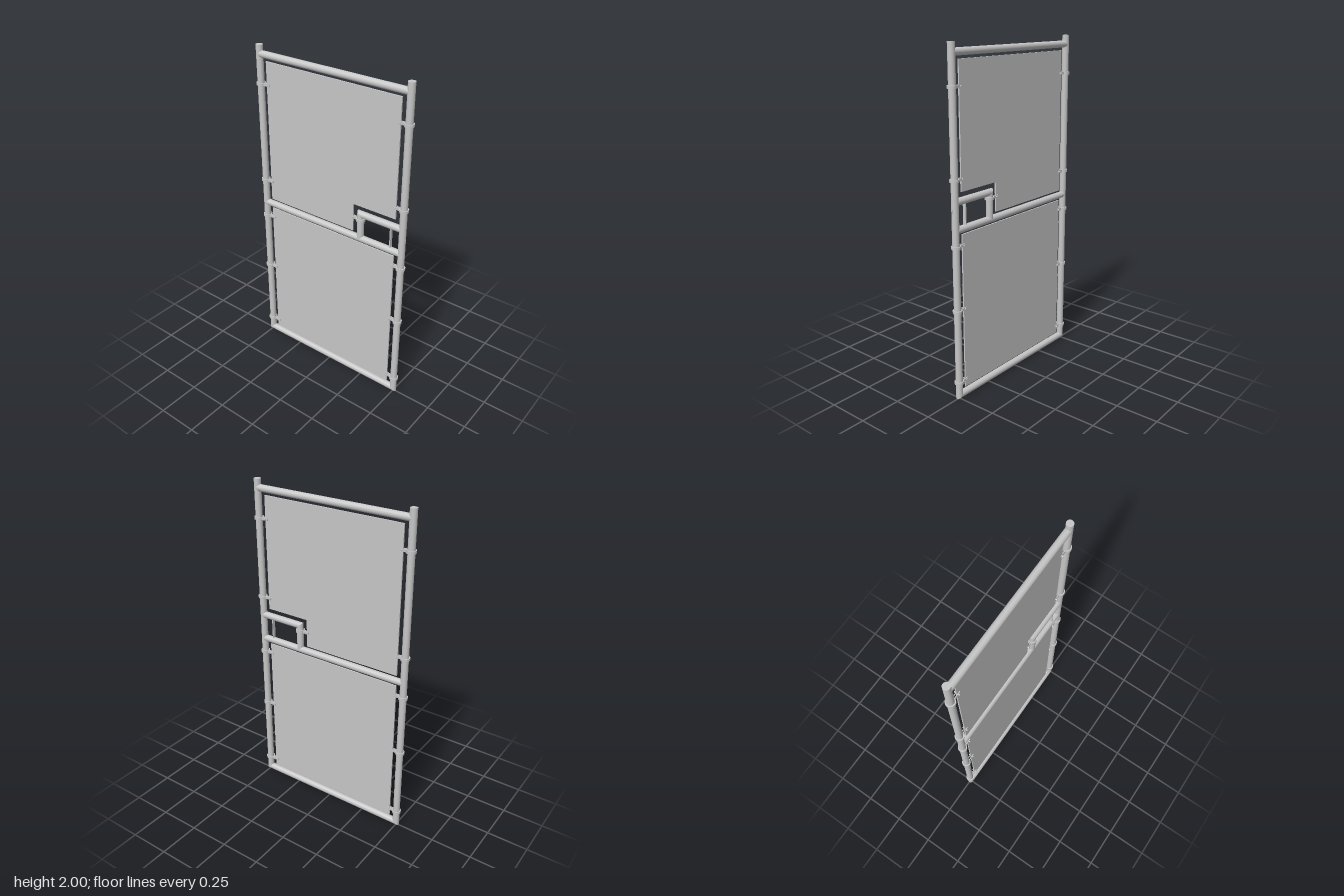
import * as THREE from 'three';

const R = 0.0205; // pipe radius
const POST_X = 0.4965;
const V = (x, y) => new THREE.Vector3(x, y, 0);

export function createModel() {
  const model = new THREE.Group();
  model.name = 'meshGate';
  const steel = new THREE.MeshStandardMaterial({ color: 0xc6c6c6 });
  steel.name = 'galvanised steel';

  const add = (name, geometry, parent = model) => {
    const mesh = new THREE.Mesh(geometry, steel);
    mesh.name = name;
    parent.add(mesh);
    return mesh;
  };

  // Round pipe from a to b; the mitre vectors slant each end along the axis
  const pipe = (name, a, b, mitreA = V(0, 0), mitreB = V(0, 0)) => {
    const axis = b.clone().sub(a);
    const length = axis.length();
    axis.normalize();
    const g = new THREE.CylinderGeometry(R, R, length, 32);
    g.applyQuaternion(new THREE.Quaternion().setFromUnitVectors(V(0, 1), axis));
    const mid = a.clone().add(b).multiplyScalar(0.5);
    g.translate(mid.x, mid.y, mid.z);
    const pos = g.attributes.position;
    const p = new THREE.Vector3();
    for (let i = 0; i < pos.count; i++) {
      p.fromBufferAttribute(pos, i);
      const atB = p.clone().sub(mid).dot(axis) > 0;
      const offset = p.clone().sub(atB ? b : a);
      p.addScaledVector(axis, offset.dot(atB ? mitreB : mitreA));
      pos.setXYZ(i, p.x, p.y, p.z);
    }
    add(name, g);
  };

  // Main frame, mitred at the bottom corners
  pipe('rightPost', V(-POST_X, R), V(-POST_X, 2), V(1, 0));
  pipe('leftPost', V(POST_X, R), V(POST_X, 2), V(-1, 0));
  pipe('bottomRail', V(-POST_X, R), V(POST_X, R), V(0, 1), V(0, -1));
  pipe('middleRail', V(-POST_X, 1.01), V(POST_X, 1.01));
  pipe('topRail', V(-POST_X, 1.948), V(POST_X, 1.948));

  // Small frame around the latch opening
  pipe('latchUpright', V(0.218, 1.01), V(0.218, 1.168), V(0, 0), V(-1, 0));
  pipe('latchRail', V(0.218, 1.168), V(POST_X, 1.168), V(0, -1));

  // Flat infill panels; the upper one is notched around the latch frame
  const panel = (name, points) => {
    const shape = new THREE.Shape(points.map(([x, y]) => new THREE.Vector2(x, y)));
    const g = new THREE.ExtrudeGeometry(shape, { depth: 0.008, bevelEnabled: false });
    g.translate(0, 0, -0.004);
    add(name, g);
  };
  panel('lowerPanel', [[-0.45, 0.053], [0.448, 0.053], [0.448, 0.979], [-0.45, 0.979]]);
  panel('upperPanel', [[-0.45, 1.043], [0.167, 1.043], [0.167, 1.217],
    [0.448, 1.217], [0.448, 1.912], [-0.45, 1.912]]);

  // Clamp: open ring round the pipe with two tabs gripping the panel
  const outer = 0.027, inner = 0.02, tabOut = 0.009, tabIn = 0.004, reach = 0.066;
  const aOut = Math.asin(tabOut / outer), aIn = Math.asin(tabIn / inner);
  const band = new THREE.Shape();
  band.moveTo(reach, tabOut);
  band.absarc(0, 0, outer, aOut, 2 * Math.PI - aOut, false);
  band.lineTo(reach, -tabOut);
  band.lineTo(reach, -tabIn);
  band.absarc(0, 0, inner, 2 * Math.PI - aIn, aIn, true);
  band.lineTo(reach, tabIn);
  band.closePath();
  const bandGeo = new THREE.ExtrudeGeometry(band, { depth: 0.016, bevelEnabled: false, curveSegments: 24 });
  bandGeo.translate(0, 0, -0.008);
  bandGeo.rotateX(-Math.PI / 2);
  const boltGeo = new THREE.CylinderGeometry(0.005, 0.005, 0.032, 12);
  boltGeo.rotateX(Math.PI / 2);
  boltGeo.translate(0.053, 0, 0);

  const clamp = (x, y, facesLeft) => {
    const group = new THREE.Group();
    group.name = 'panelClamp';
    add('clampBand', bandGeo, group);
    add('clampBolt', boltGeo, group);
    group.position.set(x, y, 0);
    if (!facesLeft) group.rotation.y = Math.PI;
    model.add(group);
  };
  for (const y of [0.1, 0.54, 0.916, 1.165, 1.775]) clamp(-POST_X, y, true);
  for (const y of [0.1, 0.54, 0.916, 1.287, 1.775]) clamp(POST_X, y, false);
  clamp(0.218, 1.134, false);

  // Latch plate inside the opening, and the striker set into the outer face of the post
  add('latchPlate', new THREE.BoxGeometry(0.006, 0.13, 0.02)).position.set(0.423, 1.089, 0);
  add('latchStriker', new THREE.BoxGeometry(0.004, 0.04, 0.005)).position.set(POST_X + R - 0.0015, 1.11, 0);

  return model;
}
